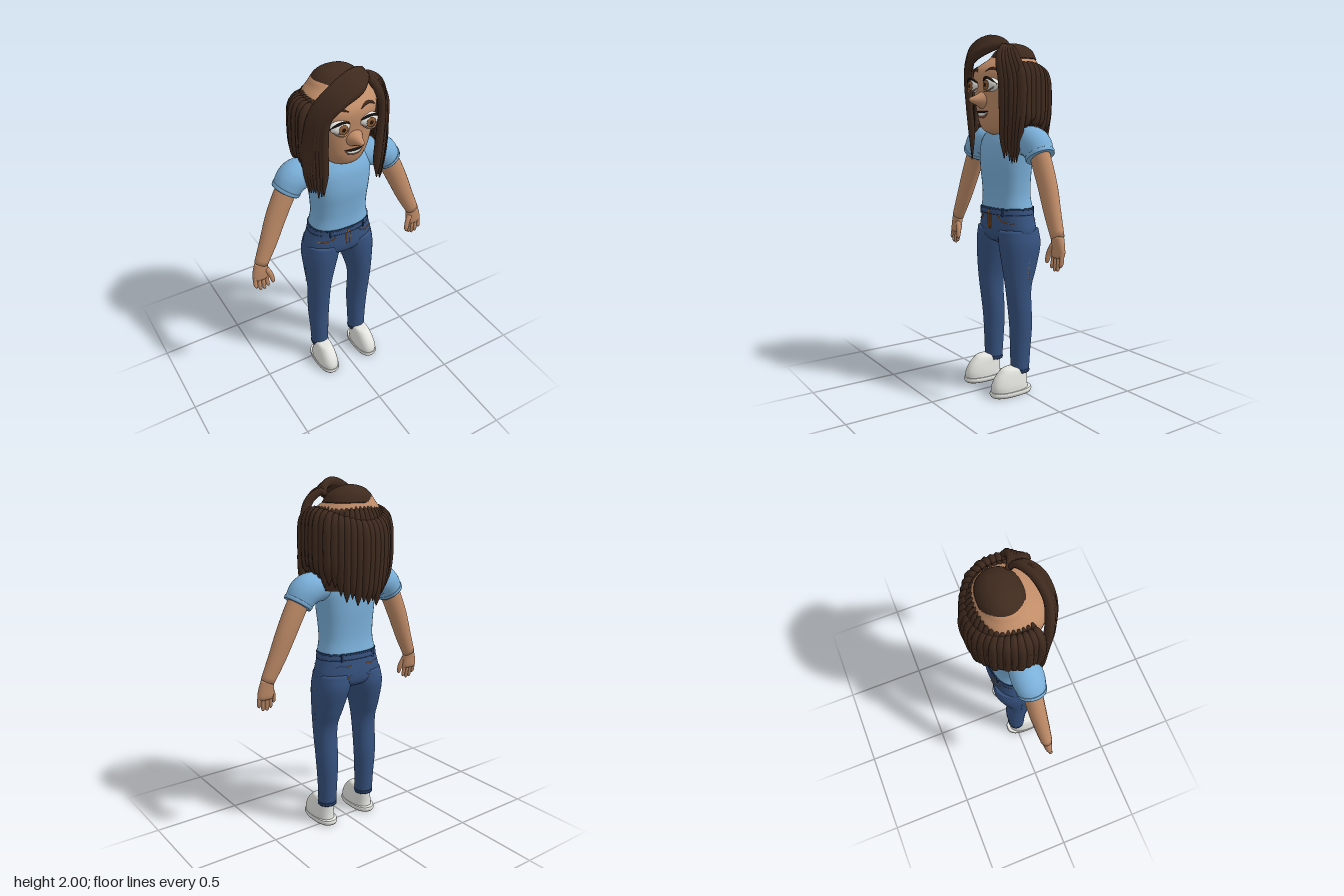
import * as THREE from 'three';

const mat = (name, color, extra) => Object.assign(new THREE.MeshStandardMaterial({ color, ...extra }), { name });
const M = {
  skin: mat('skin', 0xc08c68),
  hair: mat('hair', 0x3f2a1e, { side: THREE.DoubleSide }),
  shirt: mat('shirt blue', 0x7bb0da),
  jeans: mat('denim', 0x36527f),
  denimDark: mat('dark denim', 0x243a5e),
  white: mat('white', 0xe4e4e0),
  iris: mat('iris brown', 0x8f5f38),
  dark: mat('dark line', 0x1d1410),
  stitch: mat('stitching', 0xb9753f),
  lip: mat('lip', 0x96604c),
};
const V = (x, y, z) => new THREE.Vector3(x, y, z);
const spline = (pts) => new THREE.CatmullRomCurve3(pts, false, 'catmullrom', 0.5);

// closed surface from rings; the first and last rings are capped
function rings(count, sides, point) {
  const pos = [], idx = [];
  for (let i = -1; i <= count; i++) {
    const row = Math.min(Math.max(i, 0), count - 1);
    for (let j = 0; j < sides; j++) pos.push(...point(row / (count - 1), j / sides * Math.PI * 2, i === row ? 1 : 0).toArray());
  }
  for (let i = 0; i <= count; i++) for (let j = 0; j < sides; j++) {
    const a = i * sides + j, b = i * sides + (j + 1) % sides;
    idx.push(a, a + sides, b, b, a + sides, b + sides);
  }
  const g = new THREE.BufferGeometry();
  g.setAttribute('position', new THREE.Float32BufferAttribute(pos, 3));
  g.setIndex(idx);
  g.computeVertexNormals();
  return g;
}

// horizontal sections from the bottom up: [y, centreX, radiusX, zFront, zBack]
function loft(sections, power = 2.2, sides = 36, steps = 5) {
  const a = spline(sections.map(s => V(s[0], s[1], s[2])));
  const b = spline(sections.map(s => V(s[3], s[4], 0)));
  const pw = (v) => Math.sign(v) * Math.abs(v) ** (2 / power);
  return rings((sections.length - 1) * steps + 1, sides, (t, ang, k) => {
    const p = a.getPoint(t), q = b.getPoint(t);
    return V(p.y + k * p.z * pw(Math.cos(ang)), p.x, (q.x + q.y) / 2 + k * (q.x - q.y) / 2 * pw(Math.sin(ang)));
  });
}

// tapered tube through points [x, y, z, radius]
function sweep(points, flat = 1, sides = 10, steps = 5) {
  const path = spline(points.map(p => V(p[0], p[1], p[2])));
  const rad = spline(points.map(p => V(p[3], 0, 0)));
  return rings((points.length - 1) * steps + 1, sides, (t, ang, k) => {
    const d = path.getTangent(t), n = V(0, 0, 1).cross(d).normalize(), b = n.clone().cross(d);
    const off = n.multiplyScalar(Math.cos(ang)).addScaledVector(b, Math.sin(ang));
    off.multiplyScalar(k * Math.max(rad.getPoint(t).x, 0.001));
    off.z *= flat;
    return path.getPoint(t).add(off);
  });
}

// z of a lofted surface at x, y on its front (+1) or back (-1)
function surfZ(sections, x, y, side = 1, power = 2.2) {
  let i = 0;
  while (i < sections.length - 2 && sections[i + 1][0] < y) i++;
  const f = (y - sections[i][0]) / (sections[i + 1][0] - sections[i][0]);
  const [, cx, rx, zf, zb] = sections[i].map((v, k) => v + (sections[i + 1][k] - v) * f);
  const u = Math.min(Math.abs((x - cx) / rx), 1);
  return (zf + zb) / 2 + side * (zf - zb) / 2 * (1 - u ** power) ** (1 / power);
}

const HEAD = [[1.465, 0, .045, .09, -.02], [1.49, 0, .09, .135, -.05], [1.54, 0, .125, .157, -.1], [1.6, 0, .152, .165, -.14],
  [1.7, 0, .182, .17, -.165], [1.79, 0, .195, .172, -.17], [1.84, 0, .178, .14, -.165], [1.88, 0, .142, .08, -.145],
  [1.91, 0, .12, .055, -.13], [1.94, 0, .08, .015, -.1], [1.955, 0, .03, -.02, -.06]];
const HIPS = [[.85, 0, .06, .05, -.07], [.875, 0, .16, .095, -.115], [.92, 0, .209, .115, -.13], [1, 0, .192, .115, -.125], [1.055, 0, .176, .113, -.117]];

export function createModel() {
  const root = new THREE.Group();
  const group = (name) => { const g = new THREE.Group(); g.name = name; root.add(g); return g; };
  const add = (parent, name, geo, material) => {
    const m = new THREE.Mesh(geo, material);
    m.name = name;
    parent.add(m);
    return m;
  };
  let seed = 7;
  const rnd = () => (seed = (seed * 16807) % 2147483647) / 2147483647 - 0.5;

  // head and face
  const head = group('head');
  add(head, 'skull', loft(HEAD, 2.3), M.skin);
  add(head, 'neck', loft([[1.42, 0, .07, .055, -.06], [1.5, 0, .06, .05, -.055], [1.58, 0, .06, .05, -.06]]), M.skin);
  const nose = new THREE.LatheGeometry([[.055, 0], [.04, .025], [.027, .05], [.014, .085], [0, .098]].map(p => new THREE.Vector2(...p)), 20);
  add(head, 'nose', nose.rotateX(Math.PI / 2).translate(0, 1.652, .152), M.skin);
  const faceLine = (name, pts, r, material, out = .003) => add(head, name,
    sweep(pts.map(([x, y], i) => [x, y, surfZ(HEAD, x, y, 1, 2.3) + out, i % (pts.length - 1) ? r : r * .3]), 1, 8), material);
  for (const s of [-1, 1]) {
    const ball = new THREE.SphereGeometry(1, 28, 18).scale(.056, .037, .036);
    add(head, 'eyeball', ball.translate(s * .082, 1.732, .157), M.white);
    for (const [name, r, z, m] of [['iris', .027, .191, M.iris], ['pupil', .013, .1945, M.dark]])
      add(head, name, new THREE.SphereGeometry(r, 20, 12).scale(1, 1, .2).translate(s * .08, 1.73, z), m);
    const lid = (h, r) => sweep([-1, -.5, 0, .5, 1].map(u => [s * .082 + u * .058, 1.732 + h * (1 - u * u), .192 - .034 * u * u, u * u === 1 ? r * .4 : r]), 1, 8);
    add(head, 'upperLash', lid(.038, .006), M.dark);
    add(head, 'lowerLid', lid(-.037, .004), M.skin);
    faceLine('eyebrow', [[s * .035, 1.803], [s * .07, 1.817], [s * .105, 1.813], [s * .135, 1.793]], .008, M.hair);
    add(head, 'ear', new THREE.SphereGeometry(1, 14, 10).scale(.018, .045, .03).translate(s * .185, 1.68, -.02), M.skin);
  }
  faceLine('upperLip', [[-.055, 1.59], [-.02, 1.587], [.02, 1.587], [.055, 1.59]], .006, M.dark, .006);
  faceLine('teeth', [[-.045, 1.583], [-.02, 1.575], [.02, 1.575], [.045, 1.583]], .01, M.white);
  faceLine('lowerLip', [[-.05, 1.58], [-.022, 1.563], [.022, 1.563], [.05, 1.58]], .006, M.lip, .005);

  // hair: crown patch, back shell, layered strands
  const hair = group('hair');
  add(hair, 'crown', loft([[1.873, .01, .146, .083, -.15], [1.915, .008, .124, .058, -.135], [1.945, .004, .087, .02, -.105], [1.96, 0, .045, -.01, -.07], [1.966, 0, .005, -.03, -.045]]), M.hair);
  const shell = (name, rTop, rBottom, yTop, yBottom) => add(hair, name,
    new THREE.CylinderGeometry(rTop, rBottom, yTop - yBottom, 40, 3, true, Math.PI - 1.75, 3.5).scale(1, 1, .93).translate(0, (yTop + yBottom) / 2, 0), M.hair);
  shell('scalpBand', .183, .215, 1.845, 1.76);
  shell('backShell', .215, .215, 1.76, 1.42);
  const N = 27;
  for (let i = 0; i < N; i++) {
    const a = (i / (N - 1) - .5) * 3.7, sn = Math.sin(a), s2 = sn * sn;
    const at = (r, y, w) => [r * sn, y, -r * .94 * Math.cos(a) + .005, w];
    const top = 1.785 + .06 * s2, tip = 1.335 + .15 * s2 + rnd() * .05, out = .23 + rnd() * .014 + .008 * s2;
    add(hair, 'rootStrand', sweep([at(.172, 1.853, .006), at(.192, 1.82, .016), at(.212, 1.75, .02)], 1, 8), M.hair);
    add(hair, 'backStrand', sweep([at(.185, top - .005, .008), at(.212, top - .012, .02), at(out, top - .07, .028), at(out + .003, 1.6, .029),
      at(out - .004, (1.6 + tip) / 2, .026), at(out - .008, tip + .05, .018), at(out - .012, tip, .002)], 1, 8), M.hair);
  }
  // locks blended between an upper and a lower guide strand
  const locks = (name, A, B, n) => {
    for (let i = 0; i < n; i++) {
      const f = i / (n - 1), w = rnd() * .012, drop = rnd() * .08;
      add(hair, name, sweep(A.map((p, k) => p.map((v, c) => v + (B[k][c] - v) * f
        + (c === 0 && k > 2 ? w : 0) + (c === 1 && k === A.length - 1 ? drop : 0))), .8, 10), M.hair);
    }
  };
  locks('sweptFringe',
    [[.11, 1.91, .04, .01], [.08, 1.96, .08, .022], [-.01, 1.973, .125, .028], [-.12, 1.925, .145, .03], [-.205, 1.82, .12, .03], [-.232, 1.65, .09, .028], [-.235, 1.5, .085, .022], [-.225, 1.38, .09, .003]],
    [[.11, 1.91, .05, .01], [.09, 1.94, .11, .022], [.02, 1.91, .172, .026], [-.09, 1.865, .182, .026], [-.162, 1.78, .16, .024], [-.168, 1.62, .145, .024], [-.16, 1.47, .135, .022], [-.165, 1.32, .13, .003]], 7);
  locks('leftLock',
    [[.1, 1.91, .05, .01], [.115, 1.93, .1, .02], [.148, 1.86, .15, .024], [.168, 1.75, .15, .022], [.165, 1.57, .14, .024], [.16, 1.45, .135, .022], [.165, 1.34, .13, .003]],
    [[.1, 1.91, .03, .01], [.13, 1.925, .06, .02], [.195, 1.87, .075, .026], [.235, 1.75, .06, .028], [.245, 1.58, .07, .026], [.235, 1.45, .08, .02], [.225, 1.33, .09, .003]], 6);

  // shirt
  const shirt = group('shirt');
  add(shirt, 'shirtBody', loft([[1.045, 0, .178, .116, -.119], [1.12, 0, .164, .112, -.107], [1.2, 0, .165, .117, -.107], [1.3, 0, .175, .126, -.112],
    [1.4, 0, .185, .115, -.11], [1.46, 0, .17, .09, -.09], [1.495, 0, .12, .07, -.07], [1.505, 0, .075, .06, -.062]], 2.4), M.shirt);
  add(shirt, 'collar', new THREE.TorusGeometry(.075, .009, 8, 32).rotateX(Math.PI / 2 + .12).scale(1, 1, .88).translate(0, 1.495, 0), M.shirt);

  for (const s of [-1, 1]) {
    const side = s > 0 ? 'left' : 'right';
    const path = (pts) => pts.map(([x, ...r]) => [s * x, ...r]);
    // sleeve, arm and hand
    add(shirt, side + 'Sleeve', sweep(path([[.12, 1.41, 0, .065], [.2, 1.43, 0, .082], [.27, 1.413, 0, .087], [.318, 1.352, .002, .076]]), 1, 24), M.shirt);
    add(shirt, side + 'Cuff', sweep(path([[.309, 1.366, .002, .081], [.313, 1.36, .002, .082], [.32, 1.349, .002, .079]]), 1, 24), M.shirt);
    const arm = group(side + 'Arm');
    add(arm, 'arm', sweep(path([[.26, 1.43, 0, .06], [.32, 1.345, .003, .062], [.388, 1.205, .008, .059], [.445, 1.07, .018, .051], [.503, .945, .028, .04]]), .82, 20), M.skin);
    add(arm, 'palm', loft([[.845, s * .514, .04, .05, .02], [.865, s * .514, .049, .054, .012], [.91, s * .51, .045, .056, .006], [.955, s * .502, .037, .056, .0]], 2.2, 20), M.skin);
    [.552, .528, .504, .481].forEach((x, i) => {
      const tip = .775 + [.025, .003, 0, .012][i], r = .0115;
      add(arm, 'finger', sweep(path([[x - .004, .875, .036, r], [x, .83, .04, r], [x - .002, tip + .012, .045, r * .9], [x - .004, tip, .047, r * .4]]), 1, 10), M.skin);
    });
    add(arm, 'thumb', sweep(path([[.482, .91, .04, .016], [.461, .865, .05, .015], [.453, .825, .056, .012], [.453, .81, .058, .005]]), 1, 10), M.skin);

    // trouser leg
    const leg = group(side + 'Leg');
    add(leg, 'trouserLeg', loft([[.125, s * .136, .053, .054, -.048], [.25, s * .136, .056, .058, -.058], [.4, s * .138, .064, .064, -.066], [.6, s * .139, .069, .089, -.058],
      [.72, s * .131, .084, .103, -.095], [.85, s * .116, .104, .113, -.131], [.94, s * .103, .102, .11, -.125]], 2.1), M.jeans);
    add(leg, 'trouserHem', loft([[.12, s * .136, .054, .056, -.05], [.13, s * .136, .055, .057, -.051], [.14, s * .136, .053, .055, -.049]]), M.denimDark);
    for (let i = 0; i < 7; i++)
      add(leg, 'seamStitch', sweep([[s * .218, .86 - i * .03, 0, .003], [s * .2165, .848 - i * .03, 0, .003]], 1, 5, 1), M.stitch);

    // shoe
    const shoe = group(side + 'Shoe');
    add(shoe, 'sole', loft([[0, s * .14, .06, .193, -.058], [.015, s * .14, .066, .2, -.064], [.03, s * .14, .063, .196, -.06]], 2.5), M.white);
    add(shoe, 'upper', loft([[.025, s * .14, .061, .194, -.04], [.06, s * .14, .06, .191, -.036], [.1, s * .139, .054, .172, -.036], [.135, s * .138, .046, .14, -.035],
      [.152, s * .138, .034, .115, -.02], [.156, s * .138, .01, .08, .02]], 2.3), M.white);

    // pocket stitching and belt loops
    const line = (name, pts, face) => add(trim, name, sweep(pts.map(([x, y]) => [s * x, y, surfZ(HIPS, x, y, face) + face * .003, .0028]), 1, 6), M.stitch);
    const trim = group(side + 'PocketTrim');
    line('frontPocket', [[.075, 1.02], [.09, .995], [.13, .982], [.17, .978]], 1);
    line('flyStitch', [[.012, 1.03], [.012, .98], [.008, .94]], 1);
    line('backPocket', [[.05, .99], [.09, .985], [.14, .99]], -1);
    line('backPocketHem', [[.055, .93], [.095, .912], [.14, .93]], -1);
    for (const face of [-1, 1])
      add(trim, 'beltLoop', new THREE.BoxGeometry(.012, .045, .01).translate(s * .105, 1.037, surfZ(HIPS, .105, 1.035, face) + face * .005), M.denimDark);
  }

  // trouser hips and waistband
  const hips = group('trouserHips');
  add(hips, 'hips', loft(HIPS), M.jeans);
  add(hips, 'waistband', loft([[1.022, 0, .187, .119, -.125], [1.04, 0, .184, .12, -.124], [1.057, 0, .181, .119, -.122]]), M.jeans);
  add(hips, 'waistEdge', loft([[1.05, 0, .183, .121, -.124], [1.055, 0, .184, .122, -.125], [1.06, 0, .182, .12, -.123]]), M.denimDark);
  add(hips, 'button', new THREE.SphereGeometry(.008, 12, 8).scale(1, 1, .5).translate(0, 1.037, .121), M.stitch);
  return root;
}
